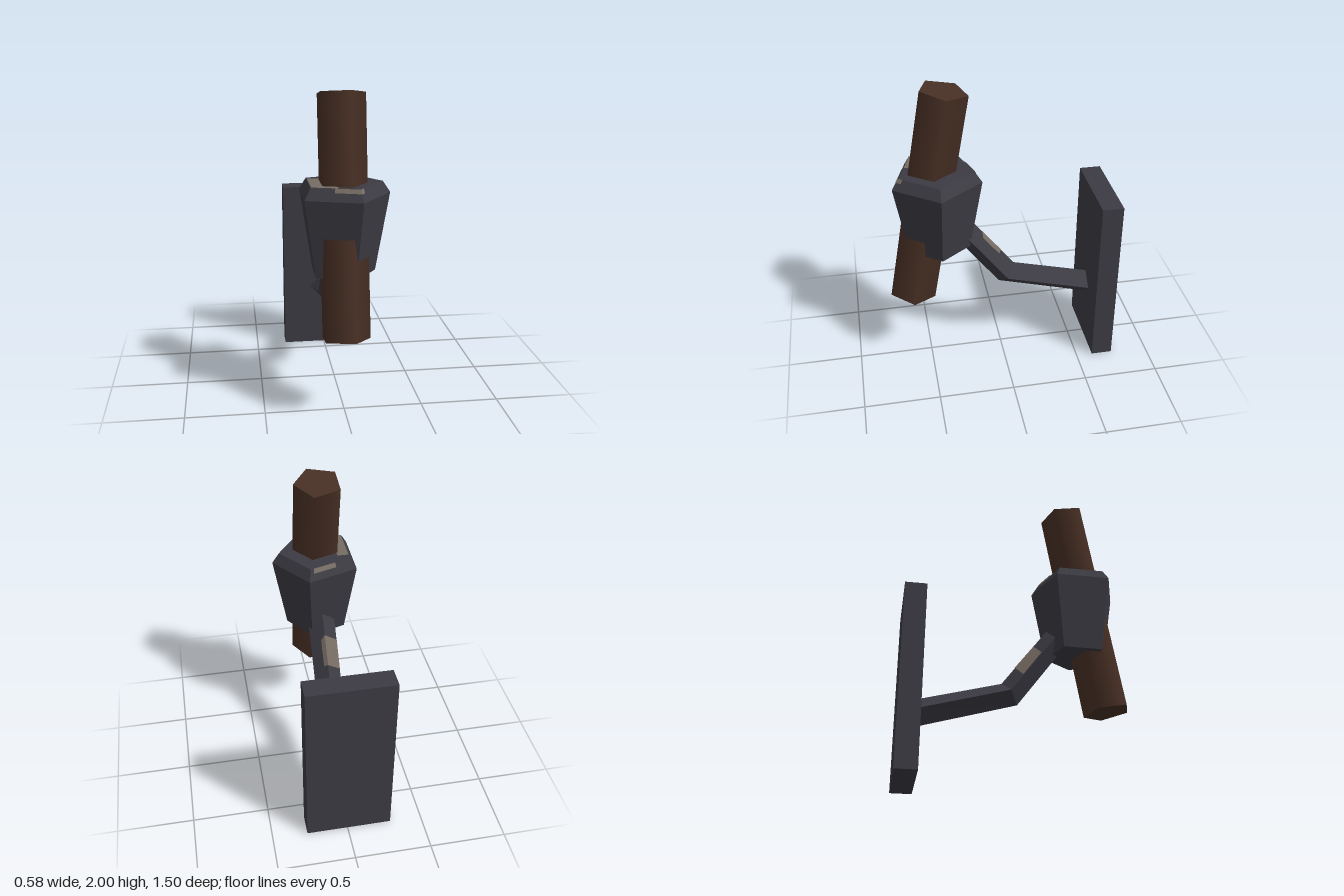
import * as THREE from 'three';

const CX = -0.01; // shared centre line

const metal = new THREE.MeshStandardMaterial({ color: 0x3c3b43 });
const wood = new THREE.MeshStandardMaterial({ color: 0x472f24 });
const wear = new THREE.MeshStandardMaterial({ color: 0x766c63, side: THREE.DoubleSide });
metal.name = 'dark iron';
wood.name = 'brown wood';
wear.name = 'worn metal';

function addMesh(group, name, geometry, material, x = 0, y = 0, z = 0) {
  const mesh = new THREE.Mesh(geometry, material);
  mesh.name = name;
  mesh.position.set(x, y, z);
  group.add(mesh);
  return mesh;
}

// Flat faces from a list of convex (fan) polygons
function polygons(list) {
  const pos = [];
  for (const p of list) {
    for (let i = 1; i < p.length - 1; i++) pos.push(...p[0], ...p[i], ...p[i + 1]);
  }
  const g = new THREE.BufferGeometry();
  g.setAttribute('position', new THREE.Float32BufferAttribute(pos, 3));
  g.computeVertexNormals();
  return g;
}

// Five-sided frustum with one corner towards +x
const pentagon = (rTop, rBottom, h) =>
  new THREE.CylinderGeometry(rTop, rBottom, h, 5, 1, false, Math.PI / 2);

function faceted(geometry) {
  const g = geometry.toNonIndexed();
  g.computeVertexNormals();
  return g;
}

export function createModel() {
  const model = new THREE.Group();
  model.name = 'wallTorch';

  // Wall plate
  addMesh(model, 'wallPlate', new THREE.BoxGeometry(0.56, 1.2, 0.14), metal, CX, 0.6, -0.68);

  // Bent bracket arm: diamond sections given as [top y, top z, bottom y, bottom z]
  const sections = [
    [0.53, -0.62, 0.35, -0.62],
    [0.67, -0.09, 0.53, 0.01],
    [1.12, 0.25, 1.0, 0.36],
  ].map(([ty, tz, by, bz]) => {
    const my = (ty + by) / 2, mz = (tz + bz) / 2;
    return [[CX, ty, tz], [CX - 0.09, my, mz], [CX, by, bz], [CX + 0.09, my, mz]];
  });
  const faces = [[...sections[0]].reverse(), sections[2]];
  for (let s = 0; s < 2; s++) {
    for (let i = 0; i < 4; i++) {
      const j = (i + 1) % 4;
      faces.push([sections[s][i], sections[s][j], sections[s + 1][j], sections[s + 1][i]]);
    }
  }
  addMesh(model, 'bracketArm', polygons(faces), metal);

  // Torch shaft, leaning back to the wall
  const shaft = addMesh(model, 'shaft', pentagon(0.157, 0.157, 1.48), wood, CX, 1.247, 0.475);
  shaft.rotation.x = -0.177;

  // Holder cup and its bevelled rim
  const cupX = -0.007, cupZ = 0.412, rWide = 0.297, rTop = 0.25;
  addMesh(model, 'holderCup', faceted(pentagon(rWide, 0.21, 0.49)), metal, cupX, 1.135, cupZ);
  addMesh(model, 'holderRim', faceted(pentagon(rTop, rWide, 0.07)), metal, cupX, 1.415, cupZ);

  // Worn patches on the rim bevel: side k, from t0 to t1 along it, from height s0 to the top
  const rimPoint = (k, t, s) => {
    const r = THREE.MathUtils.lerp(rWide, rTop, s) + 0.004;
    const corner = (n) => {
      const a = Math.PI / 2 + (n * Math.PI * 2) / 5;
      return new THREE.Vector3(cupX + r * Math.sin(a), 1.383 + 0.07 * s, cupZ + r * Math.cos(a));
    };
    return corner(k).lerp(corner(k + 1), t).toArray();
  };
  const bevelPatch = (k, t0, t1, s0) =>
    [rimPoint(k, t0, s0), rimPoint(k, t1, s0), rimPoint(k, t1, 1), rimPoint(k, t0, 1)];
  addMesh(model, 'rimWear', polygons([
    bevelPatch(1, 0.08, 0.6, 0.6),
    bevelPatch(3, 0.5, 1, 0.65),
    bevelPatch(4, 0, 0.12, 0.65),
  ]), wear);

  // Worn corner on top of the rim
  const topWear = [[-0.205, 0.56], [-0.055, 0.605], [-0.04, 0.555], [-0.13, 0.53], [-0.13, 0.305], [-0.205, 0.305]];
  addMesh(model, 'rimTopWear', polygons([topWear.map(([x, z]) => [x, 1.453, z])]), wear);

  // Worn patch over the ridge of the arm
  addMesh(model, 'armWear', polygons([
    [[CX, 0.784, 0], [-0.1, 0.706, 0.04], [-0.1, 0.867, 0.16], [CX, 0.945, 0.125]],
    [[0.015, 0.765, 0.014], [CX, 0.784, 0], [CX, 0.945, 0.125], [0.015, 0.905, 0.122]],
  ]), wear, 0, 0.005, -0.004);

  return model;
}
